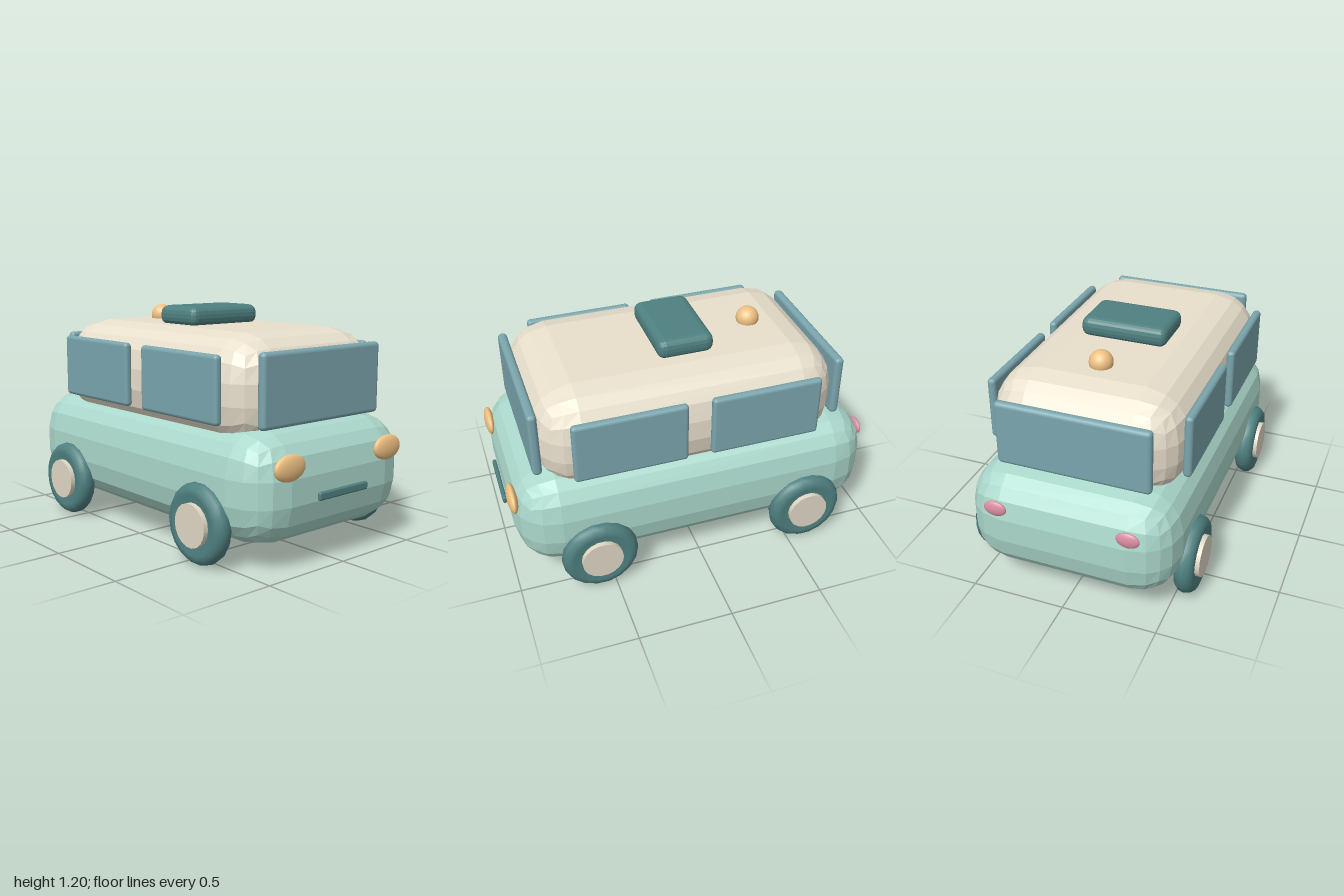
import * as THREE from 'three';
import { RoundedBoxGeometry } from 'three/addons/geometries/RoundedBoxGeometry.js';

const mat = (color, flatShading = false) => {
  const m = new THREE.MeshStandardMaterial({ color });
  m.flatShading = flatShading;
  return m;
};

export function createModel() {
  const model = new THREE.Group();
  model.name = 'van';
  const mint = mat(0xabd8cc, true), cream = mat(0xe8dfcc, true);
  const teal = mat(0x4f8080), glass = mat(0x7aa5ad), hubCream = mat(0xe0d8c6);
  const amber = mat(0xf0c283), pink = mat(0xdb8fa3);

  const add = (name, geometry, material, x, y, z) => {
    const mesh = new THREE.Mesh(geometry, material);
    mesh.name = name;
    mesh.position.set(x, y, z);
    model.add(mesh);
    return mesh;
  };
  const box = (name, [w, h, d], r, material, x, y, z, segments = 2) =>
    add(name, new RoundedBoxGeometry(w, h, d, segments, r), material, x, y, z);
  const ellipsoid = (name, rx, ry, rz, material, x, y, z) =>
    add(name, new THREE.SphereGeometry(1, 24, 16).scale(rx, ry, rz), material, x, y, z);

  // Lower body and cabin: chunky, faceted rounded boxes
  box('body', [1.11, 0.57, 1.96], 0.22, mint, 0, 0.395, -0.008);
  box('cabin', [1.01, 0.55, 1.61], 0.22, cream, 0, 0.835, 0.02);

  // Window panels
  box('windshield', [0.82, 0.365, 0.05], 0.022, glass, 0, 0.86, 0.83);
  box('rearWindow', [0.81, 0.345, 0.05], 0.022, glass, 0, 0.853, -0.805);
  for (const side of [-1, 1])
    for (const z of [0.375, -0.342])
      box('sideWindow', [0.045, 0.335, 0.592], 0.02, glass, side * 0.518, 0.858, z);

  // Tyre: rounded disc turned about the axle, with a thin hubcap
  const profile = [[0, -0.04], [0.12, -0.04], [0.15, -0.052], [0.18, -0.046], [0.198, -0.026],
    [0.205, 0], [0.198, 0.026], [0.18, 0.046], [0.15, 0.052], [0.12, 0.04], [0, 0.04]]
    .map(([r, y]) => new THREE.Vector2(r, y));
  const tyre = new THREE.LatheGeometry(profile, 18).rotateZ(-Math.PI / 2);
  const hub = new THREE.CylinderGeometry(0.11, 0.11, 0.04, 18).rotateZ(-Math.PI / 2);
  for (const side of [-1, 1])
    for (const z of [0.573, -0.595]) {
      add('tyre', tyre, teal, side * 0.556, 0.205, z);
      add('hubcap', hub, hubCream, side * 0.602, 0.207, z);
    }

  // Lights and grille
  for (const side of [-1, 1]) {
    ellipsoid('headlight', 0.1, 0.065, 0.027, amber, side * 0.348, 0.52, 0.968);
    ellipsoid('tailLight', 0.06, 0.042, 0.018, pink, side * 0.348, 0.52, -0.982);
  }
  box('grille', [0.345, 0.042, 0.022], 0.01, teal, 0, 0.358, 0.989);

  // Roof sign and lamp
  box('roofSign', [0.47, 0.105, 0.3], 0.042, mat(0x4f8080, true), 0, 1.154, -0.013);
  ellipsoid('roofLamp', 0.062, 0.062, 0.062, amber, 0, 1.128, -0.438);

  return model;
}
